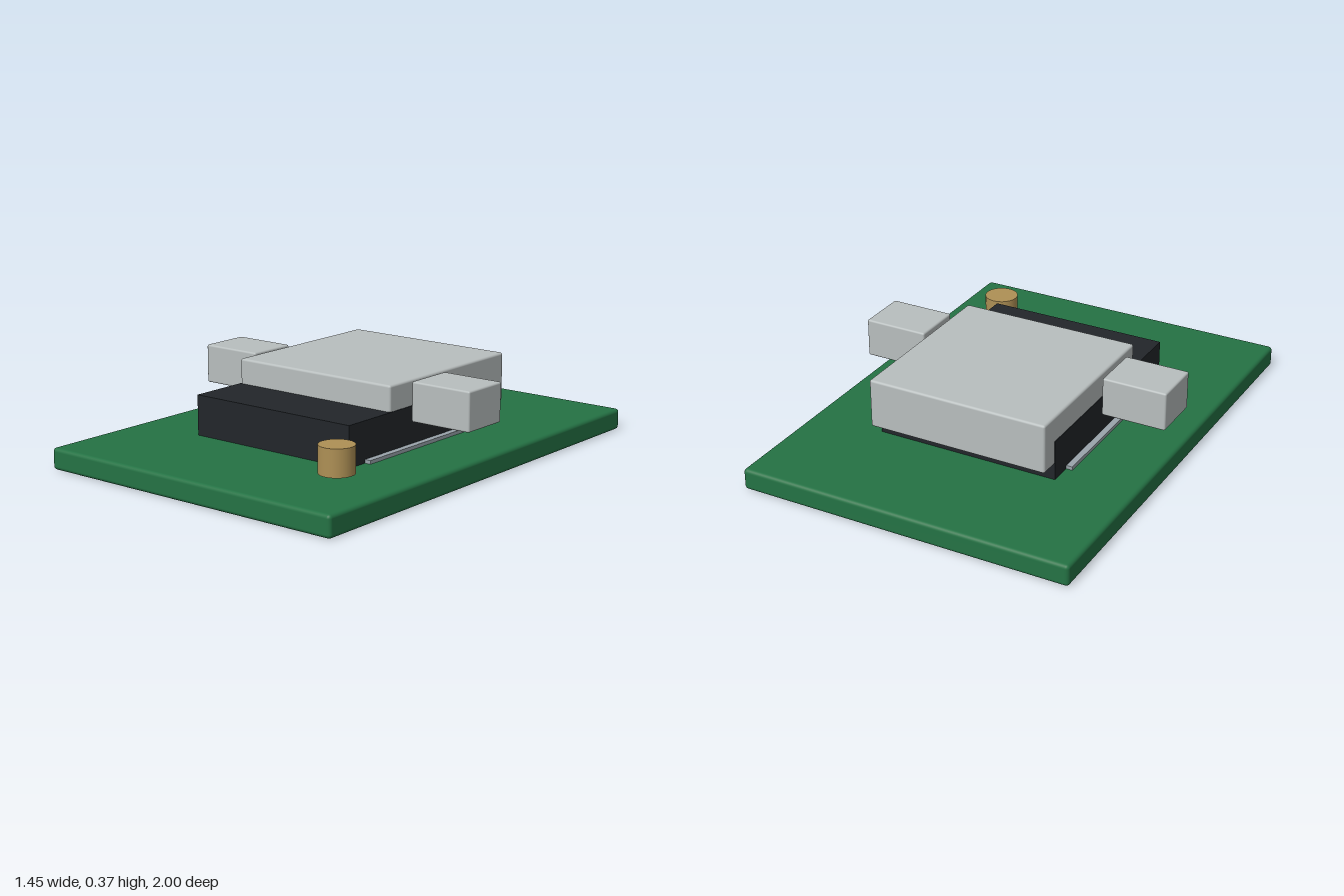
import * as THREE from 'three';
import { RoundedBoxGeometry } from 'three/addons/geometries/RoundedBoxGeometry.js';

const paint = (color) => new THREE.MeshStandardMaterial({ color });

export function createModel() {
  const model = new THREE.Group();
  model.name = 'circuitModule';

  const green = paint(0x247244);
  const silver = paint(0xb8bebe);
  const black = paint(0x22262a);
  const steel = paint(0x9aa4ab);
  const brass = paint(0xae9055);

  // Box given by its [min, max] range on each axis; radius 0 keeps edges sharp
  function addBox(name, material, [x0, x1], [y0, y1], [z0, z1], radius = 0) {
    const size = [x1 - x0, y1 - y0, z1 - z0];
    const geometry = radius
      ? new RoundedBoxGeometry(...size, 3, radius)
      : new THREE.BoxGeometry(...size);
    const mesh = new THREE.Mesh(geometry, material);
    mesh.name = name;
    mesh.position.set((x0 + x1) / 2, (y0 + y1) / 2, (z0 + z1) / 2);
    model.add(mesh);
  }

  // Board, with a thin plate under the dark housing
  addBox('board', green, [-0.725, 0.725], [0, 0.092], [-1, 1], 0.016);
  addBox('basePlate', steel, [-0.427, 0.427], [0.085, 0.107], [-0.387, 0.387]);
  addBox('housing', black, [-0.4, 0.4], [0.088, 0.264], [-0.483, 0.487]);

  // Metal cover, sunk into the housing and overhanging its back
  addBox('cover', silver, [-0.397, 0.397], [0.16, 0.372], [-0.567, 0.225], 0.01);

  // Side tabs
  for (const [name, side] of [['leftTab', 1], ['rightTab', -1]]) {
    const xs = [0.417 * side, 0.698 * side].sort((a, b) => a - b);
    addBox(name, silver, xs, [0.205, 0.372], [-0.112, 0.11], 0.008);
  }

  // Brass contact near the front left corner
  const contact = new THREE.Mesh(new THREE.CylinderGeometry(0.073, 0.073, 0.114, 32), brass);
  contact.name = 'contactPin';
  contact.position.set(0.458, 0.175, 0.632);
  model.add(contact);

  return model;
}
